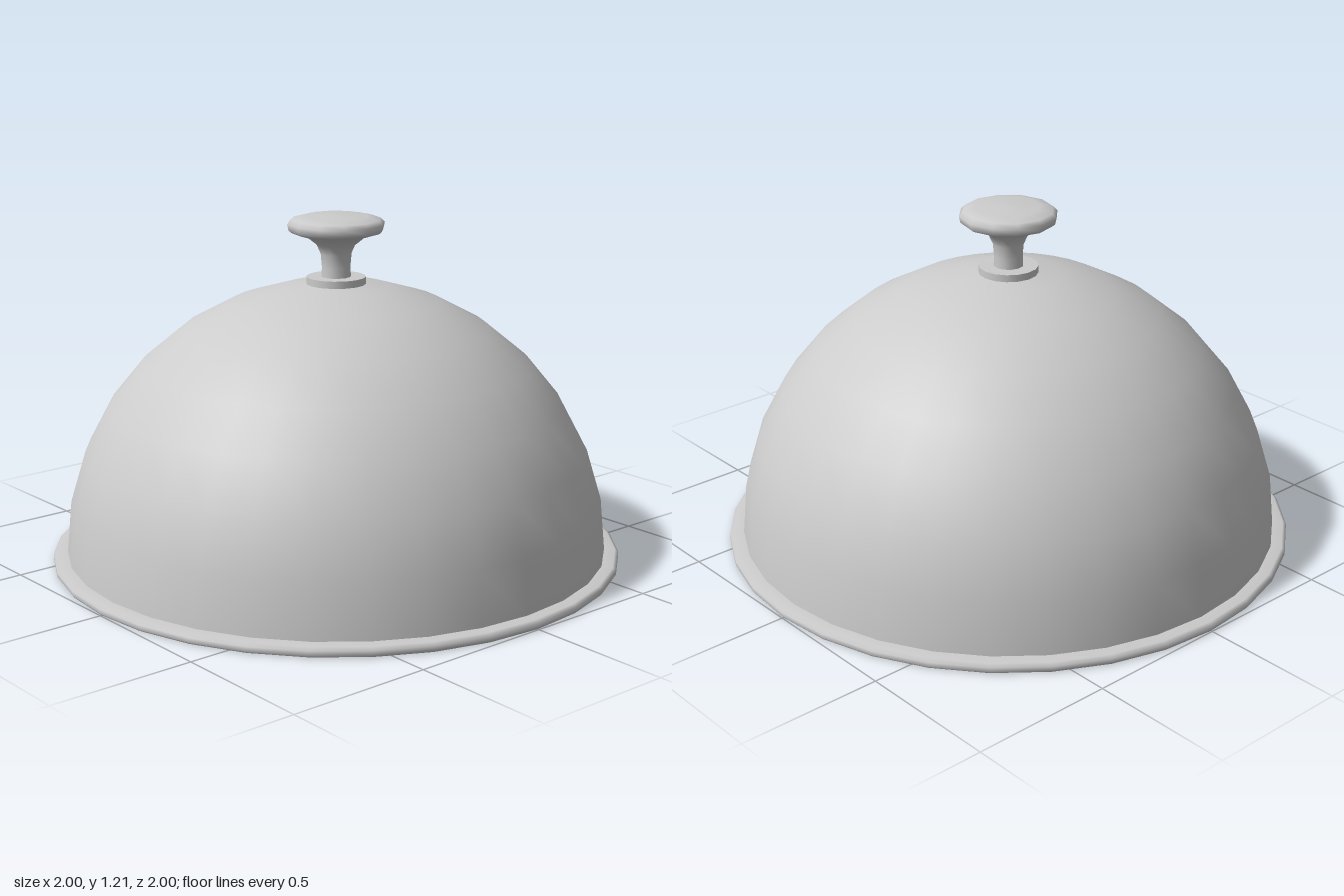
import * as THREE from 'three';

const material = new THREE.MeshStandardMaterial({ color: 0xcccccc, side: THREE.DoubleSide });

// Revolve a profile given from bottom to top as [radius, height] pairs
function turned(name, profile, sides) {
  const points = profile.map(([r, y]) => new THREE.Vector2(r, y));
  const mesh = new THREE.Mesh(new THREE.LatheGeometry(points, sides), material);
  mesh.name = name;
  return mesh;
}

export function createModel() {
  const group = new THREE.Group();
  group.name = 'servingCloche';

  // Hemispherical cover
  const rings = 8, radius = 0.95, lipTop = 0.03;
  const arc = [];
  for (let i = 0; i <= rings; i++) {
    const a = (i / rings) * Math.PI / 2;
    arc.push([i === rings ? 0 : radius * Math.cos(a), lipTop + radius * Math.sin(a)]);
  }
  group.add(turned('dome', arc, 32));

  // Thin lip around the foot of the dome
  group.add(turned('rim', [[0.995, 0], [1, 0.007], [1, 0.022], [0.988, 0.031], [0.94, 0.033]], 32));

  // Flat closed underside
  const base = new THREE.Mesh(new THREE.CircleGeometry(0.995, 32), material);
  base.name = 'base';
  base.rotation.x = Math.PI / 2;
  group.add(base);

  // Small collar under the handle
  const collar = new THREE.Mesh(new THREE.CylinderGeometry(0.103, 0.103, 0.025, 16), material);
  collar.name = 'collar';
  collar.position.y = 0.983;
  group.add(collar);

  // Flared knob with a shallow domed top
  group.add(turned('knob', [
    [0.052, 0.985], [0.05, 1.03], [0.054, 1.075], [0.068, 1.107], [0.1, 1.133],
    [0.155, 1.15], [0.165, 1.158], [0.17, 1.18], [0.155, 1.195], [0.11, 1.206], [0, 1.21],
  ], 12));

  return group;
}
